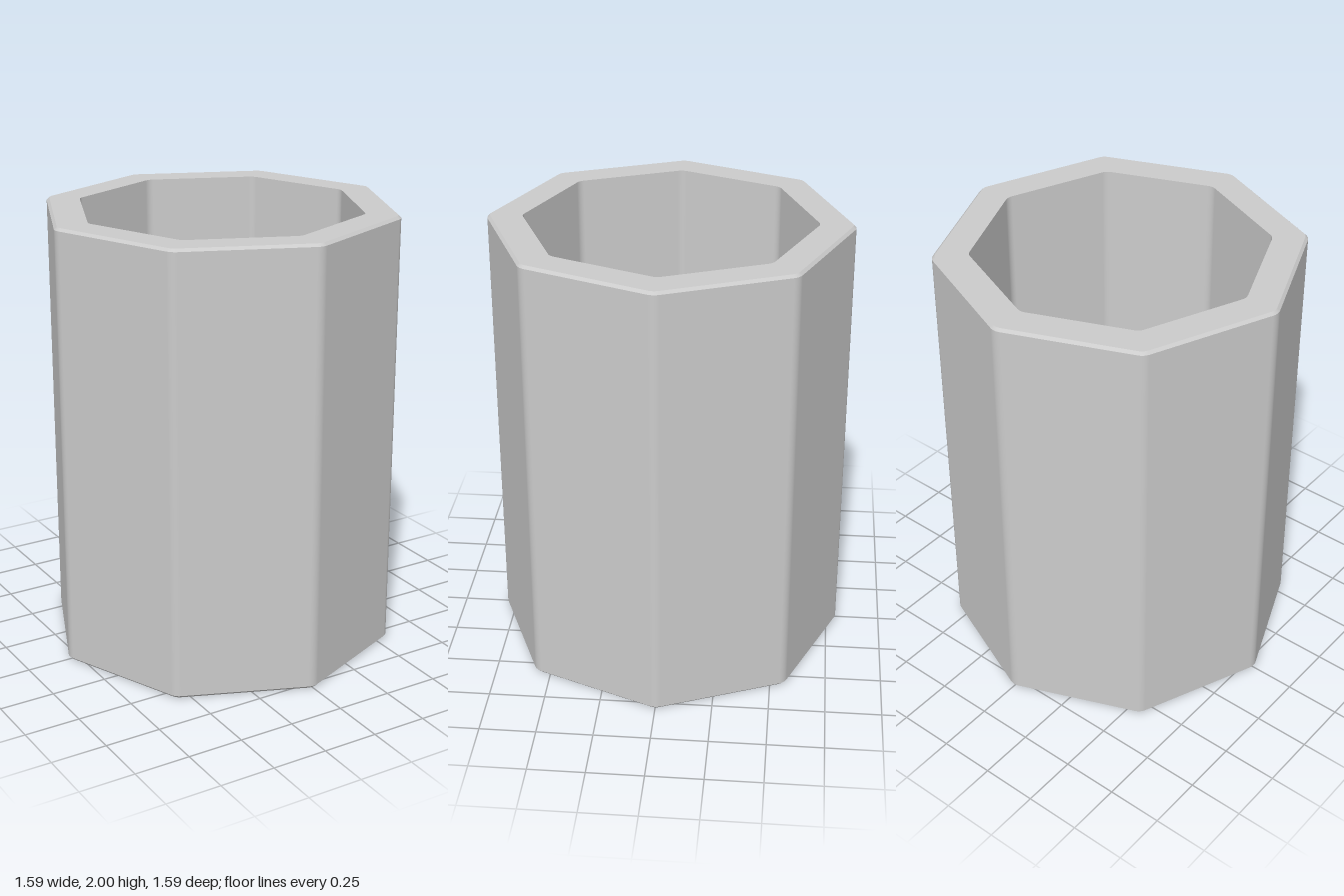
import * as THREE from 'three';

const SIDES = 8;
const ARC = 4; // segments per rounded corner

// Octagon outline with rounded corners: [x, z, normal angle]
function outline(apothem, corner) {
  const half = Math.PI / SIDES;
  const reach = (apothem - corner) / Math.cos(half);
  const points = [];
  for (let s = 0; s < SIDES; s++) {
    const mid = s * 2 * half;
    for (let k = 0; k <= ARC; k++) {
      const a = mid - half + (2 * half * k) / ARC;
      points.push([
        reach * Math.cos(mid) + corner * Math.cos(a),
        reach * Math.sin(mid) + corner * Math.sin(a),
        a,
      ]);
    }
  }
  return points;
}

// Loft through [apothem, corner radius, y] rings, with a crisp edge at each ring
function loftRings(rings) {
  const position = [], normal = [], index = [];
  for (let i = 0; i < rings.length - 1; i++) {
    const pair = [rings[i], rings[i + 1]];
    const dr = pair[1][0] - pair[0][0];
    const dy = pair[1][2] - pair[0][2];
    const len = Math.hypot(dr, dy);
    const base = position.length / 3;
    const n = SIDES * (ARC + 1);
    for (const [apothem, corner, y] of pair) {
      for (const [x, z, a] of outline(apothem, corner)) {
        position.push(x, y, z);
        normal.push((Math.cos(a) * dy) / len, -dr / len, (Math.sin(a) * dy) / len);
      }
    }
    for (let j = 0; j < n; j++) {
      const p0 = base + j, p1 = base + ((j + 1) % n);
      index.push(p0, p0 + n, p1, p1, p0 + n, p1 + n);
    }
  }
  const geometry = new THREE.BufferGeometry();
  geometry.setAttribute('position', new THREE.Float32BufferAttribute(position, 3));
  geometry.setAttribute('normal', new THREE.Float32BufferAttribute(normal, 3));
  geometry.setIndex(index);
  return geometry;
}

export function createModel() {
  const group = new THREE.Group();
  group.name = 'octagonalCup';
  const material = new THREE.MeshStandardMaterial({ color: 0xcccccc });

  const outer = 0.739, inner = 0.595, bevel = 0.012, floor = 0.16, height = 2;

  // Base, bevelled outer wall and rim
  const shell = new THREE.Mesh(loftRings([
    [0, 0, 0],
    [outer - bevel, 0.048, 0],
    [outer, 0.06, bevel],
    [outer, 0.06, height - bevel],
    [outer - bevel, 0.048, height],
    [inner, 0.05, height],
  ]), material);
  shell.name = 'outerShell';

  // Hollow: inner wall and floor
  const hollow = new THREE.Mesh(loftRings([
    [inner, 0.05, height],
    [inner, 0.05, floor],
    [0, 0, floor],
  ]), material);
  hollow.name = 'innerHollow';

  group.add(shell, hollow);
  return group;
}
